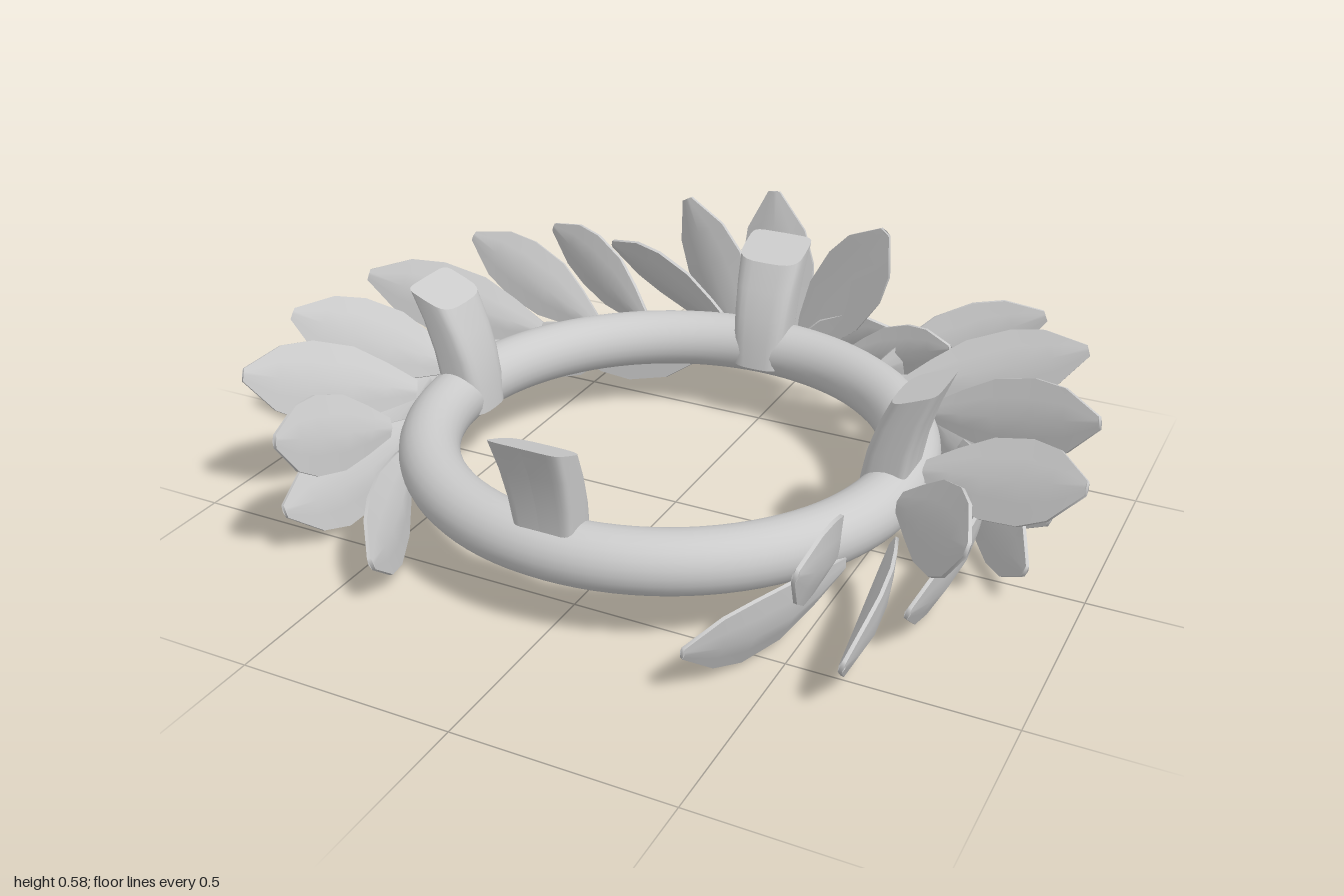
import * as THREE from 'three';

const material = new THREE.MeshStandardMaterial({ color: 0xcccccc, side: THREE.DoubleSide });
const CZ = 0.03; // ring centre along z
const V = (x, y, z) => new THREE.Vector3(x, y, z);

// Lens-shaped pointed leaf from base to tip; its width stands upright, the top leaning
// outward by tilt, the middle sagging by sag
function leafGeometry(base, tip, width, tilt, sag) {
  const axis = tip.clone().sub(base);
  const dir = axis.clone().normalize();
  const out = V(base.x + tip.x, 0, base.z + tip.z - 2 * CZ).normalize();
  let up = V(0, 1, 0);
  up.addScaledVector(dir, -up.dot(dir)).normalize();
  if (Math.abs(dir.y) > 0.7) up = new THREE.Vector3().crossVectors(out, dir).normalize();
  const normal = new THREE.Vector3().crossVectors(dir, up).normalize();
  if (normal.dot(out) < 0) normal.negate();
  const side = up.clone().multiplyScalar(Math.cos(tilt)).addScaledVector(normal, Math.sin(tilt));
  normal.crossVectors(dir, side).normalize();
  if (normal.dot(out) < 0) normal.negate();

  const stations = [[0, 0.25], [0.18, 0.62], [0.38, 0.95], [0.62, 1], [0.8, 0.8], [1, 0.16]];
  const across = [-1, -0.5, 0, 0.5, 1];
  const pos = [], idx = [];
  const flip = new THREE.Vector3().crossVectors(dir, side).dot(normal) < 0;
  for (const face of [1, -1]) {
    const start = pos.length / 3;
    for (const [t, w] of stations) for (const s of across) {
      const bulge = face * (0.004 + 0.019 * (1 - Math.abs(s)) * Math.sin(Math.PI * (0.1 + 0.85 * t)));
      const arch = Math.sin(Math.PI * t);
      const p = base.clone().addScaledVector(axis, t)
        .addScaledVector(side, s * w * width / 2 - sag * arch)
        .addScaledVector(normal, bulge + 0.015 * arch);
      pos.push(p.x, p.y, p.z);
    }
    for (let i = 0; i < stations.length - 1; i++) for (let j = 0; j < 4; j++) {
      const a = start + i * 5 + j, b = a + 5;
      if ((face > 0) !== flip) idx.push(a, b, b + 1, a, b + 1, a + 1);
      else idx.push(a, b + 1, b, a, a + 1, b + 1);
    }
  }
  // thin rim joining the two faces
  const rim = [];
  for (let i = 0; i < 6; i++) rim.push(i * 5);
  for (let i = 5; i >= 0; i--) rim.push(i * 5 + 4);
  const first = pos.length / 3;
  for (const k of rim) for (const o of [k, k + 30]) pos.push(pos[o * 3], pos[o * 3 + 1], pos[o * 3 + 2]);
  for (let i = 0; i < rim.length; i++) {
    const a = first + i * 2, b = first + ((i + 1) % rim.length) * 2;
    if (flip) idx.push(a, b, b + 1, a, b + 1, a + 1);
    else idx.push(a, b + 1, b, a, a + 1, b + 1);
  }
  const g = new THREE.BufferGeometry();
  g.setAttribute('position', new THREE.Float32BufferAttribute(pos, 3));
  g.setIndex(idx);
  g.computeVertexNormals();
  return g;
}

// Post with a square outer side and a rounder inner side, leaning outward,
// its top rising toward the outside
function postGeometry() {
  const g = new THREE.CylinderGeometry(1, 1, 1, 24, 4);
  const p = g.attributes.position;
  for (let i = 0; i < p.count; i++) {
    const h = p.getY(i) + 0.5;
    const power = p.getZ(i) > 0 ? 0.3 : 0.6;
    const squash = (v) => Math.sign(v) * Math.pow(Math.abs(v), power);
    const radial = squash(p.getZ(i)) * 0.056;
    p.setXYZ(i, squash(p.getX(i)) * (0.066 + 0.019 * h),
      0.16 + h * (0.293 + radial * 0.41), 0.54 + 0.07 * h * h + radial);
  }
  g.computeVertexNormals();
  return g;
}

export function createModel() {
  const model = new THREE.Group();
  const add = (name, geometry, parent = model) => {
    const mesh = new THREE.Mesh(geometry, material);
    mesh.name = name;
    parent.add(mesh);
    return mesh;
  };

  // Ring
  const ring = add('ring', new THREE.TorusGeometry(0.563, 0.071, 24, 96).rotateX(Math.PI / 2));
  ring.position.set(0, 0.194, CZ);

  // Four posts
  const post = postGeometry();
  for (let i = 0; i < 4; i++) {
    const m = add('post', post);
    m.position.z = CZ;
    m.rotation.y = i * Math.PI / 2;
  }

  // Mirrored leaves: base xyz, tip xyz, width, tilt
  const upper = [
    [0.55, 0.25, 0.38, 0.60, 0.36, 0.715, 0.18, 0.25],
    [0.62, 0.24, 0.17, 0.86, 0.37, 0.50, 0.19, 0.4],
    [0.62, 0.24, 0.01, 1.00, 0.355, 0.14, 0.19, 0.6],
    [0.54, 0.23, -0.29, 0.96, 0.37, -0.13, 0.18, 0.25],
    [0.43, 0.23, -0.39, 0.85, 0.38, -0.47, 0.17, 0.35],
    [0.34, 0.22, -0.50, 0.70, 0.37, -0.65, 0.17, 0.05],
  ];
  const lower = [
    [0.55, 0.15, 0.32, 0.37, 0.12, 0.72, 0.19, 0.3],
    [0.62, 0.15, 0.20, 0.67, 0.125, 0.63, 0.195, 0.3],
    [0.74, 0.155, -0.05, 0.72, 0.12, 0.39, 0.20, 0.3],
    [0.62, 0.165, -0.27, 0.88, 0.09, 0.08, 0.19, 0.2],
    [0.52, 0.19, -0.36, 0.88, 0.115, -0.11, 0.18, 0.3],
    [0.40, 0.16, -0.49, 0.78, 0.08, -0.43, 0.16, 0.15],
    [0.15, 0.17, -0.58, 0.62, 0.06, -0.57, 0.16, 0.3],
  ];
  for (const [name, list, sag] of [['upperLeaf', upper, 0], ['lowerLeaf', lower, 0.03]])
    for (const s of [1, -1]) {
      const group = new THREE.Group();
      group.name = (s > 0 ? 'left' : 'right') + (sag ? 'LowerLeaves' : 'UpperLeaves');
      for (const [bx, by, bz, tx, ty, tz, w, tilt] of list)
        add(name, leafGeometry(V(s * bx, by, bz), V(s * tx, ty, tz), w, tilt, sag), group);
      model.add(group);
    }

  // Fan of leaves at the back
  const back = [
    [-0.08, 0.08, -0.62, -0.31, 0.50, -0.70, 0.20, -0.45],
    [0.01, 0.08, -0.605, -0.04, 0.575, -0.66, 0.20, 0],
    [0.06, 0.16, -0.62, 0.30, 0.55, -0.57, 0.19, 0],
    [-0.12, 0.20, -0.58, -0.53, 0.34, -0.68, 0.17, -0.4],
    [0.05, 0.16, -0.61, 0.32, 0.27, -0.61, 0.15, -0.4],
    [0.22, 0.20, -0.57, 0.52, 0.32, -0.46, 0.13, 0],
  ];
  const fan = new THREE.Group();
  fan.name = 'backLeaves';
  for (const [bx, by, bz, tx, ty, tz, w, tilt] of back)
    add('backLeaf', leafGeometry(V(bx, by, bz), V(tx, ty, tz), w, tilt, 0), fan);
  model.add(fan);
  return model;
}
